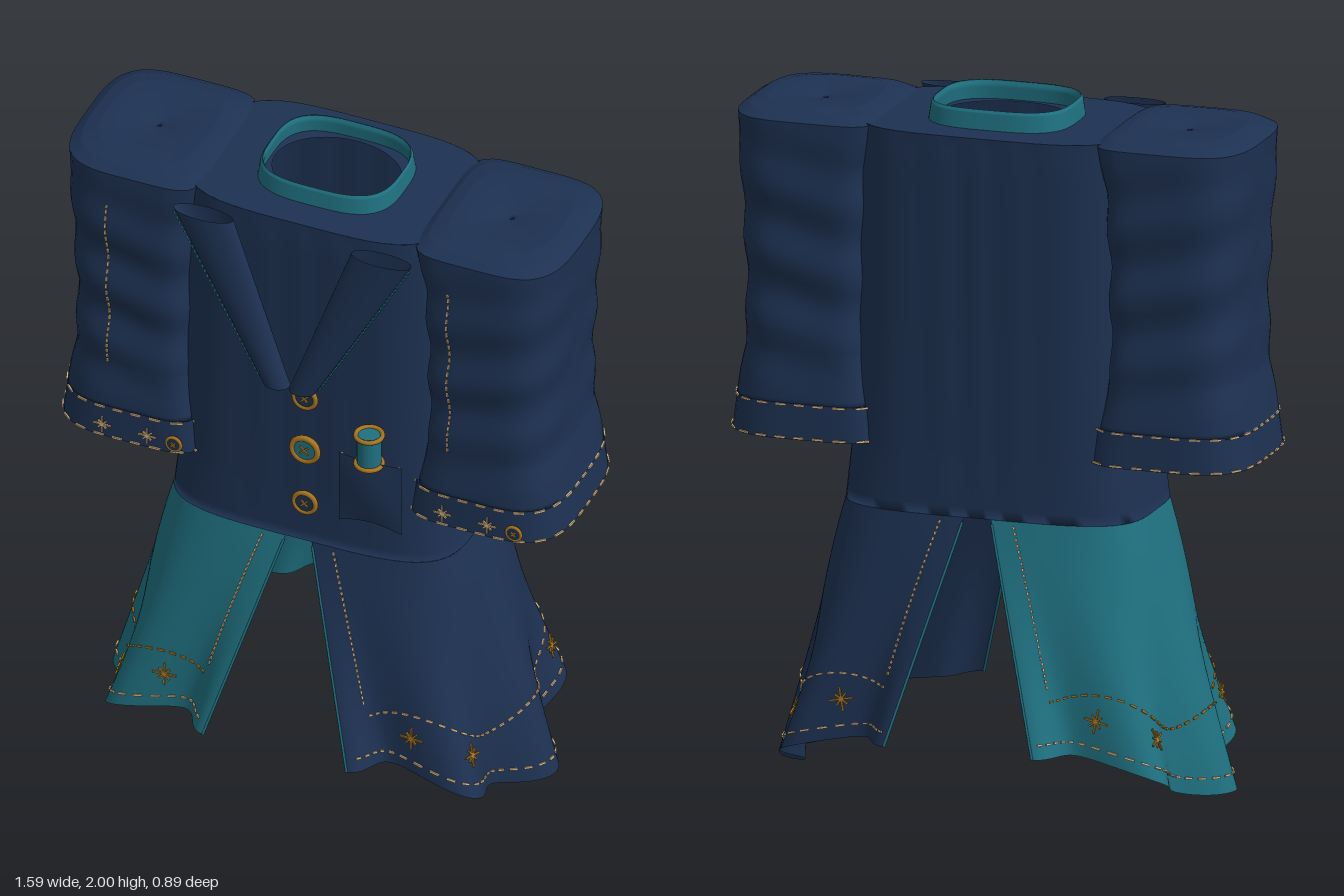
import * as THREE from 'three';
import { mergeGeometries } from 'three/addons/utils/BufferGeometryUtils.js';
import { ParametricGeometry } from 'three/addons/geometries/ParametricGeometry.js';

const paint = (name, color) => new THREE.MeshStandardMaterial({ name, color, side: THREE.DoubleSide });
const V = (x, y, z) => new THREE.Vector3(x, y, z);
const { lerp, smoothstep } = THREE.MathUtils;
const TAU = Math.PI * 2;

// Radius of a rounded rectangle (superellipse) at angle t
function rad(t, a, b, n) {
  return Math.pow(Math.pow(Math.abs(Math.cos(t)) / a, n) + Math.pow(Math.abs(Math.sin(t)) / b, n), -1 / n);
}

// Sleeve outline: rounder outside, squarer where it meets the torso
const armRad = (t, a, b) => rad(t, a, b, Math.cos(t) > 0 ? 3.5 : 6);

// Interpolate a row of [y, ...values] profile stations
function station(rows, v) {
  const f = Math.min(Math.max(v, 0), 0.99999) * (rows.length - 1), i = Math.floor(f);
  return rows[i].map((q, k) => lerp(q, rows[i + 1][k], f - i));
}

function surface(name, fn, us, vs, mat) {
  const m = new THREE.Mesh(new ParametricGeometry((u, v, p) => p.copy(fn(u, v)), us, vs), mat);
  m.name = name;
  return m;
}

// Point just above a surface function, with its outward normal
function frame(fn, u, v) {
  const e = 0.002, p = fn(u, v);
  const n = fn(u + e, v).sub(fn(u - e, v)).cross(fn(u, v + e).sub(fn(u, v - e))).normalize();
  return { p: p.addScaledVector(n, 0.004), n };
}

// Dashed seam that follows a path of [u, v] on a surface
function stitches(name, fn, path, count, mat) {
  const parts = [];
  for (let i = 0; i < count; i++) {
    const a = frame(fn, ...path(i / count)), b = frame(fn, ...path((i + 0.55) / count));
    const m = new THREE.Matrix4().lookAt(a.p, b.p, a.n);
    m.setPosition(a.p.clone().add(b.p).multiplyScalar(0.5));
    parts.push(new THREE.BoxGeometry(0.006, 0.005, a.p.distanceTo(b.p)).applyMatrix4(m));
  }
  const mesh = new THREE.Mesh(mergeGeometries(parts), mat);
  mesh.name = name;
  return mesh;
}

// Embroidered star of four crossing threads
function star(p, n, r, mat) {
  const bars = [0, 1, 2, 3].map(i =>
    new THREE.BoxGeometry(r * (i % 2 ? 1.3 : 2), 0.005, 0.005).rotateZ(i * Math.PI / 4));
  const m = new THREE.Mesh(mergeGeometries(bars), mat);
  m.name = 'embroideredStar';
  m.position.copy(p);
  m.quaternion.setFromUnitVectors(V(0, 0, 1), n);
  return m;
}

function button(x, y, z, r, ring, disc) {
  const g = new THREE.Group();
  g.name = 'button';
  const rim = new THREE.Mesh(new THREE.TorusGeometry(r * 0.8, r * 0.18, 8, 24), ring);
  rim.name = 'buttonRim';
  const face = new THREE.Mesh(new THREE.CylinderGeometry(r * 0.72, r * 0.72, 0.008, 20).rotateX(Math.PI / 2), disc);
  face.name = 'buttonFace';
  g.add(rim, face);
  for (const a of [0, Math.PI / 2]) {
    const t = new THREE.Mesh(new THREE.BoxGeometry(r * 0.7, 0.005, 0.006).rotateZ(a + Math.PI / 4), ring);
    t.name = 'buttonThread';
    t.position.z = 0.005;
    g.add(t);
  }
  g.position.set(x, y, z);
  return g;
}

export function createModel() {
  const root = new THREE.Group();
  root.name = 'tailcoat';
  const navy = paint('navy cloth', 0x1d3152), teal = paint('teal cloth', 0x1f7080);
  const gold = paint('gold', 0xa8741c), cream = paint('cream thread', 0xd0b080);

  // Torso: open shell, with a shoulder plate around an oval neck hole
  const body = [[1.94, 0.4, 0.266], [1.9, 0.405, 0.268], [1.4, 0.41, 0.264], [1.0, 0.43, 0.264], [0.815, 0.45, 0.268]];
  const torso = (u, v) => {
    const [y, a, b] = station(body, v), t = u * TAU;
    const r = rad(t, a, b, 4) * (1 - 0.02 * (1 - Math.cos(t * 16)) * v * (1 - v));
    return V(r * Math.cos(t), y, r * Math.sin(t) - 0.004 * (1 - v));
  };
  root.add(surface('torso', torso, 96, 24, navy));
  root.add(surface('shoulderPlate', (u, v) => {
    const t = u * TAU, r = lerp(rad(t, 0.192, 0.15, 2), rad(t, 0.4, 0.266, 4), v);
    return V(r * Math.cos(t), 1.944 - 0.004 * v, r * Math.sin(t) - lerp(0.008, 0.004, v));
  }, 64, 4, navy));

  // Thin standing collar
  const band = [[1.94, 0.202, 0.165], [1.99, 0.198, 0.162], [2.0, 0.202, 0.166], [1.99, 0.208, 0.172], [1.94, 0.215, 0.178]];
  root.add(surface('collar', (u, v) => {
    const [y, a, b] = station(band, 1 - v), t = u * TAU, r = rad(t, a, b, 3.2);
    return V(r * Math.cos(t), y, r * Math.sin(t) - 0.007);
  }, 64, 16, teal));

  // Sleeves: y, centre x, half width, half depth
  const arm = [[1.935, 0.55, 0.224, 0.257], [1.8, 0.562, 0.205, 0.256], [1.6, 0.56, 0.193, 0.251], [1.4, 0.558, 0.188, 0.248],
    [1.25, 0.56, 0.191, 0.25], [1.1, 0.557, 0.22, 0.26]];
  const sleeve = (u, v) => {
    const [y, c, a, b] = station(arm, v), t = u * TAU;
    const fold = 0.008 * Math.sin(y * 30 - 2 * Math.cos(t)) * Math.sin(Math.PI * Math.min(v, 1)) * Math.abs(Math.sin(t));
    const r = armRad(t, a, b) + fold;
    return V(c + r * Math.cos(t), y, r * Math.sin(t));
  };
  const cuff = (u, v) => {
    const t = u * TAU, r = armRad(t, lerp(0.222, 0.236, v), lerp(0.262, 0.268, v));
    return V(0.553 + r * Math.cos(t), lerp(1.105, 1.0, v), r * Math.sin(t));
  };
  const cap = [[1.946, 0], [1.957, 0.25], [1.964, 0.5], [1.966, 0.68], [1.956, 0.86], [1.935, 1]];
  for (const s of [1, -1]) {
    const g = new THREE.Group();
    g.name = s > 0 ? 'leftSleeve' : 'rightSleeve';
    g.scale.x = s;
    g.add(surface('sleeveBody', sleeve, 64, 48, navy), surface('cuff', cuff, 64, 4, navy));
    g.add(surface('sleeveCap', (u, v) => {
      const [y, k] = station(cap, v), t = u * TAU;
      const r = lerp(rad(t, 0.224, 0.257, 2), armRad(t, 0.224, 0.257), k) * Math.max(k, 0.0005);
      return V(0.55 + r * Math.cos(t), y, r * Math.sin(t));
    }, 64, 20, navy));
    for (const v of [0.04, 0.95]) g.add(stitches('cuffStitching', cuff, t => [t, v], 30, cream));
    g.add(stitches('sleeveSeam', sleeve, t => [s > 0 ? 0.311 : 0.223, 0.17 + 0.63 * t], 26, cream));
    root.add(g);
    // Cuff ornaments keep the same order on both arms
    const dx = s > 0 ? 0 : -1.06;
    for (const x of [0.45, 0.59]) root.add(star(V(x + dx, 1.045, 0.274), V(0, 0, 1), 0.028, cream));
    root.add(button(0.67 + dx, 1.035, 0.267, 0.028, gold, navy));
  }

  // Flared, rippled coat tails, open on the inner side
  const tail = (u, v) => {
    const w = 2 * u - 1, t0 = w * 1.42, t1 = w * 1.1;
    const r0 = rad(t0, 0.45, 0.268, 4);
    const ripple = 1 - 0.085 * (1 - Math.cos(u * TAU * 4)) * Math.pow(Math.max(v, 0), 0.8);
    const r1 = rad(t1, 0.69, 0.445, 3) * ripple;
    const drop = 0.003 + 0.16 * smoothstep(Math.abs(w), 0.08, 0.78);
    return V(lerp(r0 * Math.cos(t0), r1 * Math.cos(t1), v), lerp(0.815, drop, v),
      lerp(r0 * Math.sin(t0), r1 * Math.sin(t1), v));
  };
  for (const s of [1, -1]) {
    const g = new THREE.Group();
    g.name = s > 0 ? 'leftTail' : 'rightTail';
    g.scale.x = s;
    g.add(surface('tailCloth', tail, 96, 24, s > 0 ? navy : teal));
    for (const u of [0, 1]) {
      const edge = new THREE.CatmullRomCurve3([0.02, 0.25, 0.5, 0.75, 1].map(v => tail(u, v)));
      const piping = new THREE.Mesh(new THREE.TubeGeometry(edge, 16, 0.004, 6), teal);
      piping.name = 'edgePiping';
      g.add(piping);
    }
    for (const u of [0.08, 0.92]) g.add(stitches('edgeStitching', tail, t => [u, 0.02 + t * 0.7], 28, cream));
    g.add(stitches('upperHemStitching', tail,
      t => [0.08 + 0.84 * t, 0.73 + 0.035 * Math.cos(t * TAU * 3)], 40, s > 0 ? cream : gold));
    g.add(stitches('lowerHemStitching', tail, t => [0.02 + 0.96 * t, 0.94], 40, cream));
    for (const u of [0.18, 0.29, 0.71, 0.82]) {
      const f = frame(tail, u, 0.82);
      g.add(star(f.p, f.n, 0.036, gold));
    }
    root.add(g);
  }

  // Rolled lapels meeting above the buttons
  for (const s of [1, -1]) {
    const lapel = (u, v) => {
      const t = s * u * TAU, inner = lerp(0.185, 0.0, v), outer = lerp(0.37, 0.08, v);
      const x = lerp(inner, outer, 0.5 + 0.5 * Math.cos(t) * s);
      return V(s * x, lerp(1.93, 1.405, v), lerp(0.312, 0.332, v) + 0.032 * Math.sin(t));
    };
    const name = s > 0 ? 'leftLapel' : 'rightLapel';
    root.add(surface(name, lapel, 32, 10, navy));
    const u = s > 0 ? 0.03 : 0.47;
    const front = (a, v) => lapel(s * a, v);
    root.add(stitches(name + 'Trim', front, t => [u, 0.02 + 0.95 * t], 34, teal));
  }

  // Front buttons
  [1.36, 1.175, 0.985].forEach((y, i) =>
    root.add(button(0.038, y, 0.31, i === 1 ? 0.05 : 0.042, gold, i === 1 ? teal : navy)));

  // Patch pocket with sagging lower edge
  const pocket = (u, v) => V(lerp(0.335, 0.14, u), lerp(1.19, 0.95 + 0.02 * Math.sin(Math.PI * u), v),
    0.3 + 0.018 * Math.sin(Math.PI * u) * Math.sin(Math.PI * Math.min(v * 0.8 + 0.15, 1)));
  root.add(surface('pocket', pocket, 12, 10, navy));
  const front = (u, v) => pocket(1 - u, v);
  for (const [path, n] of [[t => [0.04, t], 12], [t => [0.96, t], 12], [t => [t, 0.96], 10]]) {
    root.add(stitches('pocketStitching', front, path, n, cream));
  }

  // Thread spool peeking from the pocket
  const spool = new THREE.Group();
  spool.name = 'threadSpool';
  const thread = new THREE.Mesh(new THREE.CylinderGeometry(0.036, 0.036, 0.1, 20), teal);
  thread.name = 'spoolThread';
  spool.add(thread);
  for (const y of [-0.05, 0.05]) {
    const end = new THREE.Mesh(new THREE.TorusGeometry(0.039, 0.007, 8, 24).rotateX(Math.PI / 2), gold);
    end.name = 'spoolEnd';
    end.position.y = y;
    spool.add(end);
  }
  spool.position.set(0.235, 1.232, 0.302);
  root.add(spool);
  return root;
}
